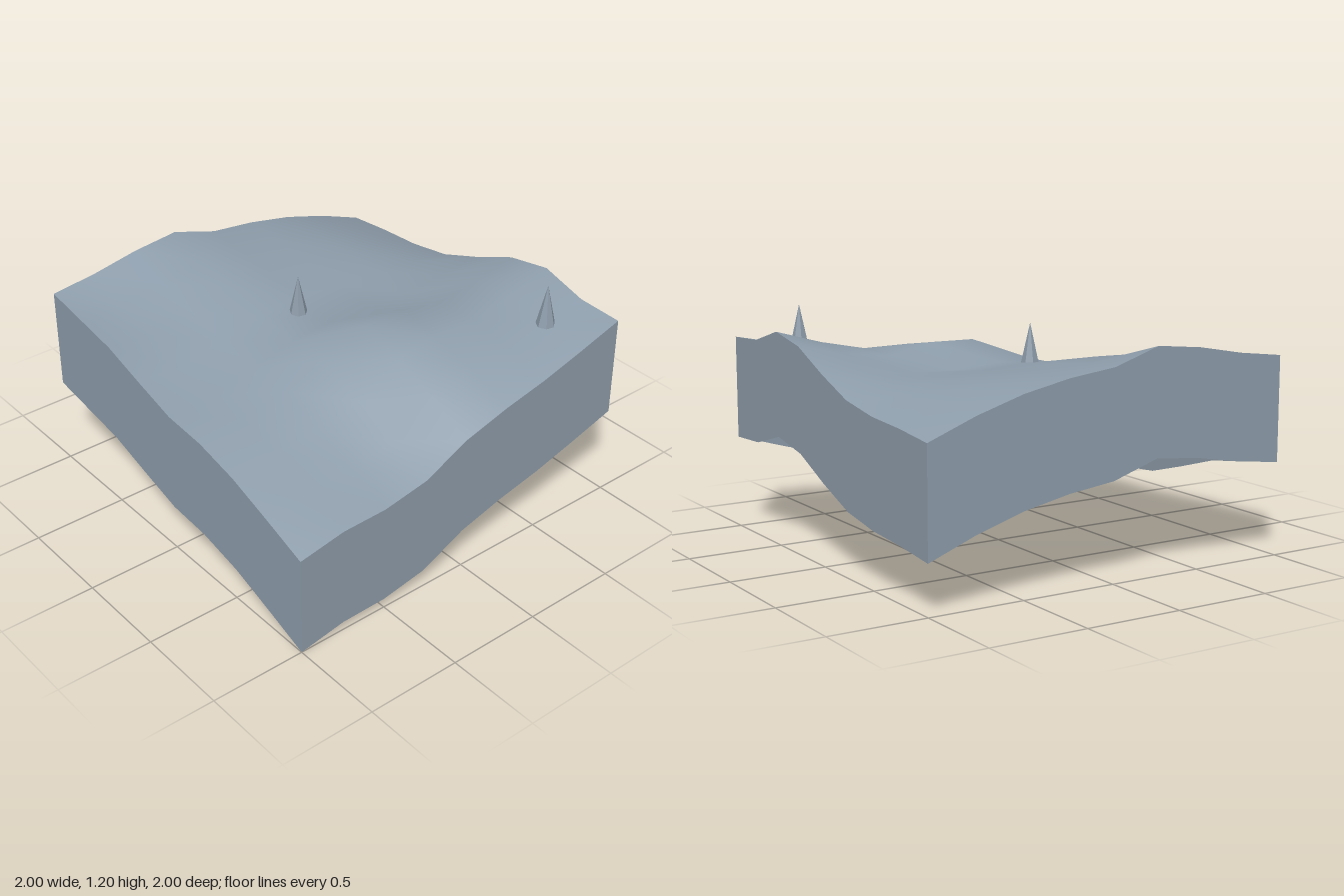
import * as THREE from 'three';

// Ground heights: rows run back (z = -1) to front (z = 1), columns x = -1 to 1
const HEIGHTS = [
  [0.78, 0.805, 0.82, 0.86, 0.95, 1.055, 1.10, 1.03, 1.02],
  [0.875, 0.89, 0.90, 0.905, 0.93, 1.00, 1.03, 0.985, 0.945],
  [0.95, 0.955, 0.95, 0.93, 0.915, 0.97, 0.98, 0.94, 0.875],
  [1.00, 0.99, 0.965, 0.94, 0.91, 1.02, 0.985, 0.92, 0.82],
  [1.03, 1.01, 0.985, 0.955, 0.93, 1.02, 0.96, 0.87, 0.75],
  [1.11, 1.04, 1.00, 0.945, 0.915, 0.92, 0.825, 0.725, 0.63],
  [1.085, 1.00, 0.94, 0.895, 0.86, 0.85, 0.765, 0.67, 0.585],
  [1.04, 0.96, 0.90, 0.845, 0.79, 0.795, 0.735, 0.655, 0.58],
  [1.01, 0.97, 0.93, 0.855, 0.785, 0.765, 0.71, 0.625, 0.535],
];
const N = 8;
const SKIRT = 0.535;

export function createModel() {
  const model = new THREE.Group();
  const stone = new THREE.MeshStandardMaterial({ color: 0x8e9dab, side: THREE.DoubleSide });
  stone.name = 'blue grey stone';

  const add = (name, geometry) => {
    const mesh = new THREE.Mesh(geometry, stone);
    mesh.name = name;
    model.add(mesh);
    return mesh;
  };

  // Rolling ground surface
  const ground = new THREE.PlaneGeometry(2, 2, N, N).rotateX(-Math.PI / 2);
  const p = ground.attributes.position;
  for (let i = 0; i < p.count; i++) {
    p.setY(i, HEIGHTS[Math.floor(i / (N + 1))][i % (N + 1)]);
  }
  ground.computeVertexNormals();
  add('ground', ground);

  // Side walls hang a constant depth below each ground edge, open underneath
  const wall = (name, heights, turn) => {
    const g = new THREE.PlaneGeometry(2, 1, N, 1);
    const q = g.attributes.position;
    for (let i = 0; i <= N; i++) {
      q.setY(i, heights[i]);
      q.setY(i + N + 1, heights[i] - SKIRT);
    }
    add(name, g.translate(0, 0, 1).rotateY(turn));
  };
  wall('frontWall', HEIGHTS[N], 0);
  wall('rightSideWall', HEIGHTS.map((r) => r[N]).reverse(), Math.PI / 2);
  wall('backWall', [...HEIGHTS[0]].reverse(), Math.PI);
  wall('leftSideWall', HEIGHTS.map((r) => r[0]), -Math.PI / 2);

  // Faceted spikes standing on the ground
  const spike = new THREE.ConeGeometry(0.05, 0.22, 7).toNonIndexed();
  spike.computeVertexNormals();
  [[-0.17, 0.925, 0.08], [0.75, 0.98, -0.75]].forEach(([x, y, z], i) => {
    add(`spike${i + 1}`, spike).position.set(x, y + 0.11, z);
  });

  return model;
}
